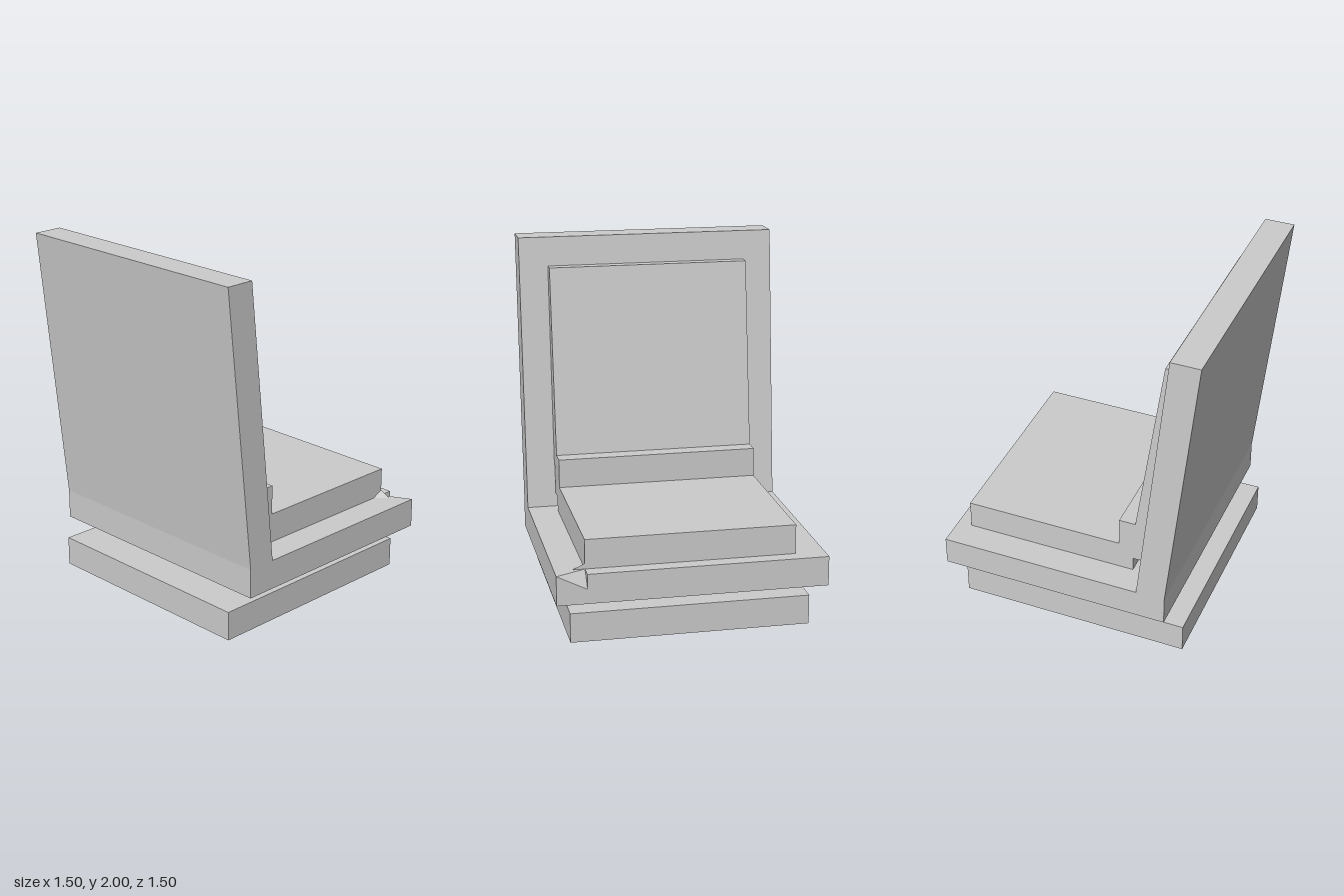
import * as THREE from 'three';
import { ConvexGeometry } from 'three/addons/geometries/ConvexGeometry.js';

const material = new THREE.MeshStandardMaterial({ color: 0xcccccc, flatShading: true });

export function createModel() {
  const group = new THREE.Group();

  const add = (name, geometry) => {
    const mesh = new THREE.Mesh(geometry, material);
    mesh.name = name;
    group.add(mesh);
  };

  // Box given by its lower and upper corners
  const box = (name, [x0, y0, z0], [x1, y1, z1]) =>
    add(name, new THREE.BoxGeometry(x1 - x0, y1 - y0, z1 - z0)
      .translate((x0 + x1) / 2, (y0 + y1) / 2, (z0 + z1) / 2));

  // Side profile of (z, y) points, swept across x and centred
  const sweep = (name, width, profile) => {
    const shape = new THREE.Shape(profile.map(([z, y]) => new THREE.Vector2(z, y)));
    add(name, new THREE.ExtrudeGeometry(shape, { depth: width, bevelEnabled: false })
      .translate(0, 0, -width / 2)
      .rotateY(-Math.PI / 2));
  };

  const hull = (name, points) =>
    add(name, new ConvexGeometry(points.map((p) => new THREE.Vector3(...p))));

  // Foot and pedestal
  box('base', [-0.667, 0, -0.667], [0.667, 0.167, 0.667]);
  box('pedestal', [-0.25, 0.167, -0.25], [0.25, 0.25, 0.25]);

  // L-shaped seat pan and leaning backrest
  sweep('seatShell', 1.5, [
    [-0.667, 0.25], [0.583, 0.25], [0.583, 0.417], [0.75, 2],
    [0.583, 2], [0.417, 0.417], [-0.667, 0.417],
  ]);

  // Leading edge of the seat pan, with one chipped corner
  box('seatLip', [-0.75, 0.25, -0.75], [0.583, 0.417, -0.667]);
  hull('seatLipCorner', [
    [0.583, 0.25, -0.75], [0.75, 0.25, -0.75], [0.583, 0.25, -0.667], [0.75, 0.25, -0.667],
    [0.583, 0.333, -0.75], [0.75, 0.417, -0.75], [0.583, 0.417, -0.667], [0.75, 0.417, -0.667],
  ]);
  hull('cornerSliver', [
    [0.583, 0.417, -0.667], [0.65, 0.417, -0.667], [0.583, 0.417, -0.6], [0.583, 0.45, -0.667],
  ]);

  // Seat and back cushion in one stepped profile
  sweep('cushion', 1.167, [
    [-0.667, 0.417], [0.333, 0.417], [0.333, 0.5], [0.417, 0.5], [0.417, 0.667],
    [0.443, 0.667], [0.566, 1.833], [0.5, 1.833], [0.345, 0.75], [0.25, 0.75],
    [0.25, 0.583], [-0.667, 0.583],
  ]);

  return group;
}
